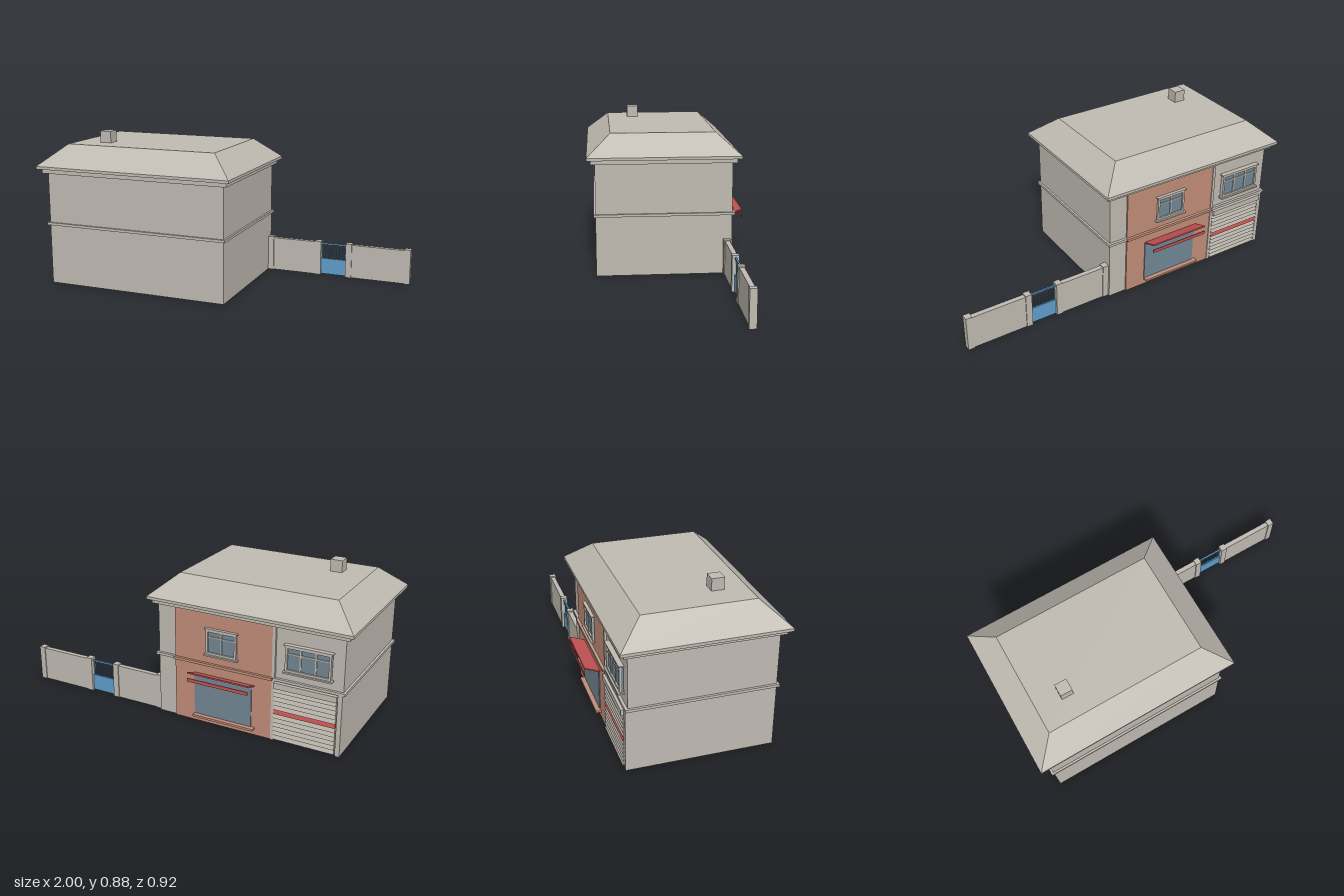
import * as THREE from 'three';

const paint = (name, color) => {
  const m = new THREE.MeshStandardMaterial({ color });
  m.name = name;
  return m;
};

export function createModel() {
  const stone = paint('stone', 0xbfbab1);
  const brick = paint('brick', 0xc28c78);
  const red = paint('red', 0xc45252);
  const glass = paint('glass', 0x718693);
  const blue = paint('gateBlue', 0x5f9dca);

  const model = new THREE.Group();
  model.name = 'house';

  // Box given by its extents along each axis
  function box(name, mat, [x0, x1], [y0, y1], [z0, z1], parent = model) {
    const mesh = new THREE.Mesh(new THREE.BoxGeometry(x1 - x0, y1 - y0, z1 - z0), mat);
    mesh.position.set((x0 + x1) / 2, (y0 + y1) / 2, (z0 + z1) / 2);
    mesh.name = name;
    parent.add(mesh);
    return mesh;
  }
  function group(name) {
    const g = new THREE.Group();
    g.name = name;
    model.add(g);
    return g;
  }

  // Main block, mid band and cornice
  box('walls', stone, [-0.95, 0.13], [0, 0.655], [-0.363, 0.415]);
  box('floorBand', stone, [-0.963, 0.142], [0.348, 0.363], [-0.378, 0.427]);
  box('cornice', stone, [-0.975, 0.155], [0.652, 0.677], [-0.387, 0.44]);
  box('eaves', stone, [-1, 0.177], [0.677, 0.693], [-0.411, 0.461]);

  // Hipped roof: a box whose upper corners are drawn inwards
  const roof = box('roof', stone, [-1, 0.177], [0.693, 0.811], [-0.411, 0.461]);
  const p = roof.geometry.attributes.position;
  for (let i = 0; i < p.count; i++) {
    if (p.getY(i) > 0) {
      p.setX(i, (p.getX(i) > 0 ? 0.042 : -0.865) - roof.position.x);
      p.setZ(i, (p.getZ(i) > 0 ? 0.325 : -0.275) - roof.position.z);
    }
  }
  roof.geometry = roof.geometry.toNonIndexed();
  roof.geometry.computeVertexNormals();
  box('chimney', stone, [-0.725, -0.657], [0.805, 0.878], [0.135, 0.204]);

  // Brick shop bay
  box('brickPanel', brick, [-0.56, 0.022], [0, 0.652], [-0.372, -0.36]);
  box('brickBand', brick, [-0.565, 0.027], [0.348, 0.363], [-0.387, -0.37]);
  box('shopGlass', glass, [-0.445, -0.1], [0.045, 0.287], [-0.377, -0.371]);
  box('shopStep', brick, [-0.465, -0.1], [0.033, 0.045], [-0.402, -0.37]);

  // Awning tilted upwards, with a bar hanging off its outer edge
  const awning = box('awning', red, [-0.46, -0.1], [0.3, 0.307], [-0.46, -0.37]);
  awning.rotation.x = 0.36;
  box('awningBar', red, [-0.46, -0.1], [0.27, 0.289], [-0.459, -0.454]);

  // Upper windows with frames, sills and glazing bars
  function addWindow(name, x0, x1, bays) {
    const g = group(name);
    const y0 = 0.418, y1 = 0.56, t = 0.012;
    box('pane', glass, [x0, x1], [y0, y1], [-0.376, -0.362], g);
    box('sill', stone, [x0 - 0.01, x1 + 0.01], [0.41, y0], [-0.395, -0.362], g);
    box('head', stone, [x0 - 0.008, x1 + 0.008], [y1, 0.567], [-0.39, -0.362], g);
    for (const x of [x0, x1 - t]) box('frameSide', stone, [x, x + t], [y0, y1], [-0.385, -0.362], g);
    box('frameTop', stone, [x0, x1], [y1 - t, y1], [-0.385, -0.362], g);
    box('frameBottom', stone, [x0, x1], [y0, y0 + t], [-0.385, -0.362], g);
    box('transom', stone, [x0, x1], [0.515, 0.521], [-0.381, -0.362], g);
    for (let i = 1; i < bays; i++) {
      const x = x0 + (x1 - x0) * i / bays;
      box('mullion', stone, [x - 0.004, x + 0.004], [y0, y1], [-0.381, -0.362], g);
    }
  }
  addWindow('shopWindow', -0.355, -0.175, 2);
  addWindow('garageWindow', -0.885, -0.635, 3);

  // Garage bay: pilasters, shutter box, slats and a red stripe
  box('dividerPilaster', stone, [-0.577, -0.56], [0, 0.652], [-0.376, -0.36]);
  box('cornerPilaster', stone, [-0.95, -0.925], [0, 0.348], [-0.376, -0.36]);
  box('shutterBox', stone, [-0.925, -0.577], [0.31, 0.343], [-0.391, -0.36]);
  const shutter = group('shutter');
  const slats = 12, pitch = 0.3 / slats;
  for (let i = 0; i < slats; i++) {
    const y = 0.01 + i * pitch;
    const mat = i === 6 ? red : stone;
    const slat = box('slat', mat, [-0.92, -0.577], [y, y + pitch], [-0.382, -0.362], shutter);
    // Each slat leans outwards towards its foot
    const q = slat.geometry.attributes.position;
    for (let k = 0; k < q.count; k++) {
      if (q.getY(k) > 0 && q.getZ(k) < 0) q.setZ(k, q.getZ(k) + 0.008);
    }
    slat.geometry = slat.geometry.toNonIndexed();
    slat.geometry.computeVertexNormals();
  }

  // Yard wall with posts
  const fence = group('yardWall');
  for (const [x0, x1] of [[0.163, 0.427], [0.65, 0.963]])
    box('wallPanel', stone, [x0, x1], [0, 0.2], [-0.347, -0.319], fence);
  for (const x of [0.128, 0.427, 0.615, 0.963])
    box('post', stone, [x, x + 0.036], [0, 0.207], [-0.352, -0.313], fence);

  // Gate: solid lower panel, upright bars and a top rail
  const gate = group('gate');
  box('gatePanel', blue, [0.46, 0.618], [0.004, 0.1], [-0.338, -0.328], gate);
  box('gateRail', blue, [0.46, 0.618], [0.187, 0.196], [-0.338, -0.328], gate);
  for (let i = 0; i < 9; i++) {
    const x = 0.468 + i * 0.0175;
    box('gateBar', blue, [x - 0.002, x + 0.002], [0.1, 0.188], [-0.335, -0.331], gate);
  }

  return model;
}
